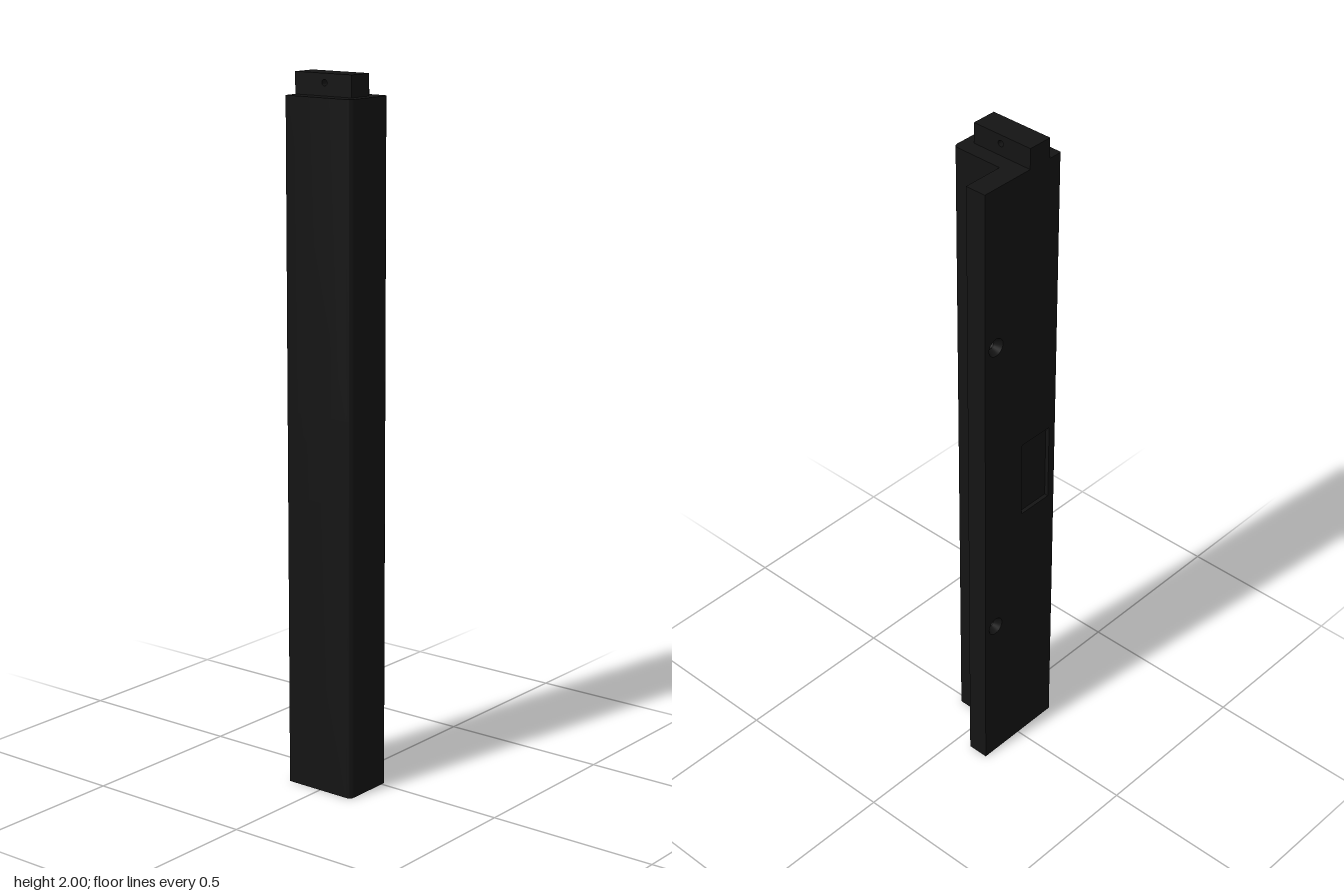
import * as THREE from 'three';
import { toCreasedNormals } from 'three/addons/utils/BufferGeometryUtils.js';

const black = new THREE.MeshStandardMaterial({ color: 0x141414 });
const blackInner = new THREE.MeshStandardMaterial({ color: 0x141414, side: THREE.DoubleSide });

const HEIGHT = 1.94;
const BACK = -0.112;
const HOLES = [0.49, 1.46];
const HOLE_X = 0.1;

function extrude(shape, depth) {
  return toCreasedNormals(
    new THREE.ExtrudeGeometry(shape, { depth, bevelEnabled: false, curveSegments: 10 }), 0.6);
}

function addMesh(group, name, geometry, material = black) {
  const mesh = new THREE.Mesh(geometry, material);
  mesh.name = name;
  group.add(mesh);
  return mesh;
}

// Plan section of the box bar, drawn in (x, -z); front corners rounded, optional pocket in the back
function barSection(pocket) {
  const l = -0.142, r = 0.02, f = -0.11, b = -BACK, R = 0.016, q = 0.005;
  const s = new THREE.Shape();
  s.moveTo(l + R, f);
  s.lineTo(r - R, f);
  s.quadraticCurveTo(r, f, r, f + R);
  s.lineTo(r, b);
  if (pocket) {
    s.lineTo(-0.006, b);
    s.lineTo(-0.006, b - 0.012);
    s.lineTo(-0.116, b - 0.012);
    s.lineTo(-0.116, b);
  }
  s.lineTo(l + q, b);
  s.quadraticCurveTo(l, b, l, b - q);
  s.lineTo(l, f + R);
  s.quadraticCurveTo(l, f, l + R, f);
  return s;
}

// Rectangle with round holes
function drilledRect(x0, y0, x1, y1, holes, radius) {
  const s = new THREE.Shape();
  s.moveTo(x0, y0);
  s.lineTo(x1, y0);
  s.lineTo(x1, y1);
  s.lineTo(x0, y1);
  s.closePath();
  for (const [x, y] of holes) {
    const h = new THREE.Path();
    h.absarc(x, y, radius, 0, Math.PI * 2, true);
    s.holes.push(h);
  }
  return s;
}

export function createModel() {
  const group = new THREE.Group();
  group.name = 'railSection';

  // Main bar, with a shallow pocket halfway up its back
  for (const [name, y0, y1, pocket] of [
    ['lowerBar', 0, 0.84, false],
    ['pocketBar', 0.84, 1.08, true],
    ['upperBar', 1.08, HEIGHT, false],
  ]) {
    const bar = addMesh(group, name, extrude(barSection(pocket), y1 - y0).rotateX(-Math.PI / 2));
    bar.position.y = y0;
  }

  // Mounting flange: wide screw openings in the back layer, narrow ones in front
  const holes = HOLES.map((y) => [HOLE_X, y]);
  const sink = 0.02;
  for (const [name, z0, z1, radius] of [
    ['flangeBack', BACK, BACK + sink, 0.027],
    ['flangeFront', BACK + sink, -0.049, 0.013],
  ]) {
    const plate = addMesh(group, name,
      extrude(drilledRect(0.02, 0, 0.142, HEIGHT, holes, radius), z1 - z0));
    plate.position.z = z0;
  }

  // Countersinks of the screw holes
  for (const y of HOLES) {
    const cone = new THREE.CylinderGeometry(0.013, 0.027, sink, 28, 1, true).rotateX(Math.PI / 2);
    addMesh(group, 'countersink', cone, blackInner).position.set(HOLE_X, y, BACK + sink / 2);
  }

  // Slim rib in the corner between bar and flange
  const rib = new THREE.Shape();
  rib.moveTo(0.018, 0.05);
  rib.lineTo(0.018, 0.028);
  rib.lineTo(0.047, 0.028);
  rib.quadraticCurveTo(0.052, 0.028, 0.052, 0.033);
  rib.lineTo(0.052, 0.05);
  rib.closePath();
  addMesh(group, 'cornerRib', extrude(rib, 1.89).rotateX(-Math.PI / 2)).position.y = 0.03;

  // Joining tongue on top with its cross pin hole
  const tongue = drilledRect(-0.08, HEIGHT, -BACK, 2, [[0.012, 1.975]], 0.009);
  addMesh(group, 'tongue', extrude(tongue, 0.074).rotateY(Math.PI / 2)).position.x = -0.099;

  return group;
}
